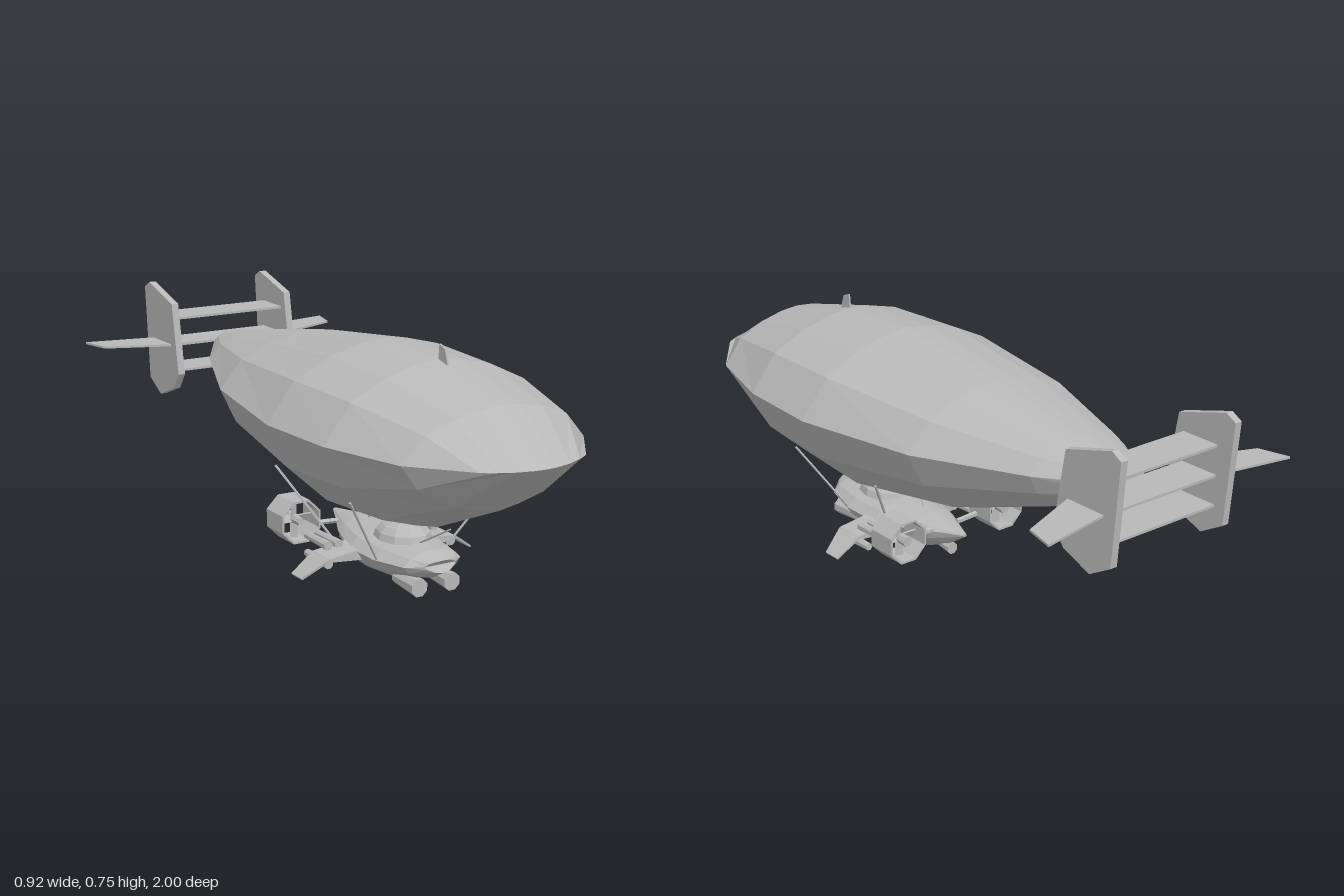
import * as THREE from 'three';

const grey = new THREE.MeshStandardMaterial({ color: 0xb8b8b8, flatShading: true, side: THREE.DoubleSide });
grey.name = 'hull grey';

// Half profile of a cross-section: [share of half width, share of height]
const UP = [[1, 0], [0.77, 0.56], [0.47, 0.83], [0.2, 0.96], [0, 1]];
const DOWN = [[0, -1], [0.2, -0.94], [0.5, -0.82], [0.84, -0.43]];
const mirrorX = ([x, y]) => [-x, y];
const PROFILE = [...UP, ...UP.slice(0, 4).reverse().map(mirrorX), ...DOWN.slice(1).reverse().map(mirrorX), ...DOWN];

// Skin over stations [z, half width, middle y, top y, bottom y, sweep back], front to back
function loft(stations) {
  const pos = [], idx = [], n = PROFILE.length;
  for (const [z, w, mid, top, bot, sweep = 0] of stations) {
    for (const [px, py] of PROFILE) {
      pos.push(px * w, mid + py * (py > 0 ? top - mid : mid - bot), z - sweep * px * px);
    }
  }
  const last = (stations.length - 1) * n;
  for (let i = 0; i < last; i += n) {
    for (let j = 0; j < n; j++) {
      const a = i + j, b = i + (j + 1) % n;
      idx.push(a, a + n, b, b, a + n, b + n);
    }
  }
  for (let j = 1; j < n - 1; j++) idx.push(0, j, j + 1, last, last + j + 1, last + j);
  const g = new THREE.BufferGeometry();
  g.setAttribute('position', new THREE.Float32BufferAttribute(pos, 3));
  g.setIndex(idx);
  const flat = g.toNonIndexed();
  flat.computeVertexNormals();
  return flat;
}

// Flat plate from an outline, thickness centred on its plane
function plate(points, depth) {
  const shape = new THREE.Shape(points.map(([x, y]) => new THREE.Vector2(x, y)));
  return new THREE.ExtrudeGeometry(shape, { depth, bevelEnabled: false }).translate(0, 0, -depth / 2);
}
// Outline given as [z, y], standing along the length
const uprightPlate = (pts, t) => plate(pts.map(([z, y]) => [-z, y]), t).rotateY(Math.PI / 2);
// Outline given as [x, z], lying flat
const levelPlate = (pts, t) => plate(pts.map(([x, z]) => [x, -z]), t).rotateX(-Math.PI / 2);

// Tapered tube lying along z
const barrel = (rFront, rBack, length, sides = 8) =>
  new THREE.CylinderGeometry(rFront, rBack, length, sides).rotateY(Math.PI / sides).rotateX(Math.PI / 2);

export function createModel() {
  const model = new THREE.Group();
  const add = (parent, name, geometry, x = 0, y = 0, z = 0) => {
    const mesh = new THREE.Mesh(geometry, grey);
    mesh.name = name;
    mesh.position.set(x, y, z);
    parent.add(mesh);
    return mesh;
  };
  const strut = (parent, name, from, to, r = 0.004) => {
    const a = new THREE.Vector3(...from), b = new THREE.Vector3(...to);
    const mesh = add(parent, name, new THREE.CylinderGeometry(r, r, a.distanceTo(b), 5));
    mesh.position.copy(a).lerp(b, 0.5);
    mesh.quaternion.setFromUnitVectors(new THREE.Vector3(0, 1, 0), b.sub(a).normalize());
  };

  // Gas envelope, with its nose drawn into a curved level edge
  add(model, 'envelope', loft([
    [1.0, 0.175, 0.51, 0.511, 0.509, 0.06],
    [0.79, 0.308, 0.505, 0.64, 0.34, 0.03],
    [0.485, 0.385, 0.505, 0.71, 0.21],
    [0.19, 0.4, 0.505, 0.72, 0.19],
    [-0.24, 0.33, 0.515, 0.67, 0.26],
    [-0.6, 0.185, 0.53, 0.61, 0.39],
    [-0.8, 0.065, 0.54, 0.57, 0.46],
  ]));
  add(model, 'topFin', uprightPlate([[0.53, 0.7], [0.515, 0.745], [0.487, 0.755], [0.482, 0.7]], 0.006));

  // Tail boards between the fins
  for (const y of [0.63, 0.54, 0.45]) {
    add(model, 'tailBoard', new THREE.BoxGeometry(0.42, 0.008, 0.13), 0, y, -0.875);
  }

  // Gondola
  add(model, 'gondolaHull', loft([
    [0.52, 0.055, 0.1, 0.118, 0.08, 0.02],
    [0.46, 0.1, 0.095, 0.135, 0.048],
    [0.34, 0.13, 0.09, 0.14, 0.017],
    [0.2, 0.13, 0.09, 0.143, 0.003],
    [0.06, 0.085, 0.1, 0.138, 0.02],
    [-0.03, 0.04, 0.108, 0.125, 0.06],
    [-0.1, 0.008, 0.112, 0.117, 0.106],
  ]));
  add(model, 'dome', new THREE.SphereGeometry(1, 10, 4, 0, Math.PI * 2, 0, Math.PI / 2)
    .scale(0.085, 0.055, 0.1), 0, 0.132, 0.3);
  strut(model, 'frontStay', [0, 0.13, 0.38], [0, 0.22, 0.55], 0.003);
  add(model, 'stayBlock', new THREE.BoxGeometry(0.02, 0.025, 0.06), 0, 0.195, 0.13);
  strut(model, 'rearStay', [0, 0.13, 0.1], [0, 0.2, 0.14], 0.003);
  add(model, 'rearNozzle', barrel(0.012, 0.02, 0.06), 0, 0.045, -0.01);

  for (const s of [1, -1]) {
    const side = new THREE.Group();
    side.name = s > 0 ? 'leftSide' : 'rightSide';
    model.add(side);

    // Tail fin and outer tail wing
    add(side, 'tailFin', uprightPlate([
      [-0.79, 0.685], [-0.965, 0.735], [-1, 0.715], [-0.975, 0.4],
      [-0.895, 0.355], [-0.79, 0.395], [-0.75, 0.45]], 0.024), s * 0.215);
    add(side, 'tailWing', levelPlate([
      [0.22, -0.94], [0.46, -0.985], [0.435, -0.885], [0.22, -0.8]].map(([x, z]) => [s * x, z]), 0.007), 0, 0.542);

    // Lamp tubes under the bow
    add(side, 'lampTube', barrel(0.029, 0.02, 0.12), s * 0.057, 0.031, 0.42);

    // Stub wing with drooping tip
    add(side, 'stubWing', plate([
      [0.09, 0.1], [0.225, 0.082], [0.235, 0.072], [0.09, 0.06]].map(([x, y]) => [s * x, y]), 0.1), 0, 0, 0.2);
    const tip = add(side, 'wingTip', levelPlate([
      [0, 0.05], [0.093, 0.02], [0.093, -0.04], [0, -0.05]].map(([x, z]) => [s * x, z]), 0.007), s * 0.228, 0.077, 0.2);
    tip.rotation.z = -s * 0.6;

    // Small thrusters above and below the wing
    for (const [x, y, r, z] of [[0.155, 0.1, 0.015, 0.12], [0.192, 0.1, 0.015, 0.12], [0.22, 0.062, 0.016, 0.17]]) {
      add(side, 'thruster', barrel(r, r * 0.75, 0.13), s * x, y, z);
    }

    // Ducted propeller
    const fan = new THREE.Group();
    fan.name = 'ductedFan';
    fan.position.set(s * 0.197, 0.135, -0.018);
    side.add(fan);
    const duct = [[0.073, -0.05], [0.073, 0.05], [0.066, 0.05], [0.066, -0.05], [0.073, -0.05]];
    add(fan, 'duct', new THREE.LatheGeometry(duct.map(([x, y]) => new THREE.Vector2(x, y)), 8)
      .rotateY(Math.PI / 8).rotateX(Math.PI / 2));
    add(fan, 'hub', barrel(0.012, 0.018, 0.09, 6));
    for (let i = 0; i < 4; i++) {
      const blade = add(fan, 'blade', new THREE.BoxGeometry(0.024, 0.055, 0.005).rotateY(0.5).translate(0, 0.034, 0));
      blade.rotation.z = i * Math.PI / 2;
    }
    strut(side, 'fanArm', [s * 0.05, 0.11, 0.0], [s * 0.135, 0.115, 0.0], 0.009);

    // Suspension struts
    strut(side, 'frontStrut', [s * 0.125, 0.095, 0.35], [s * 0.265, 0.31, 0.43]);
    strut(side, 'rearStrut', [s * 0.13, 0.09, 0.11], [s * 0.27, 0.32, 0.0]);
  }
  return model;
}
